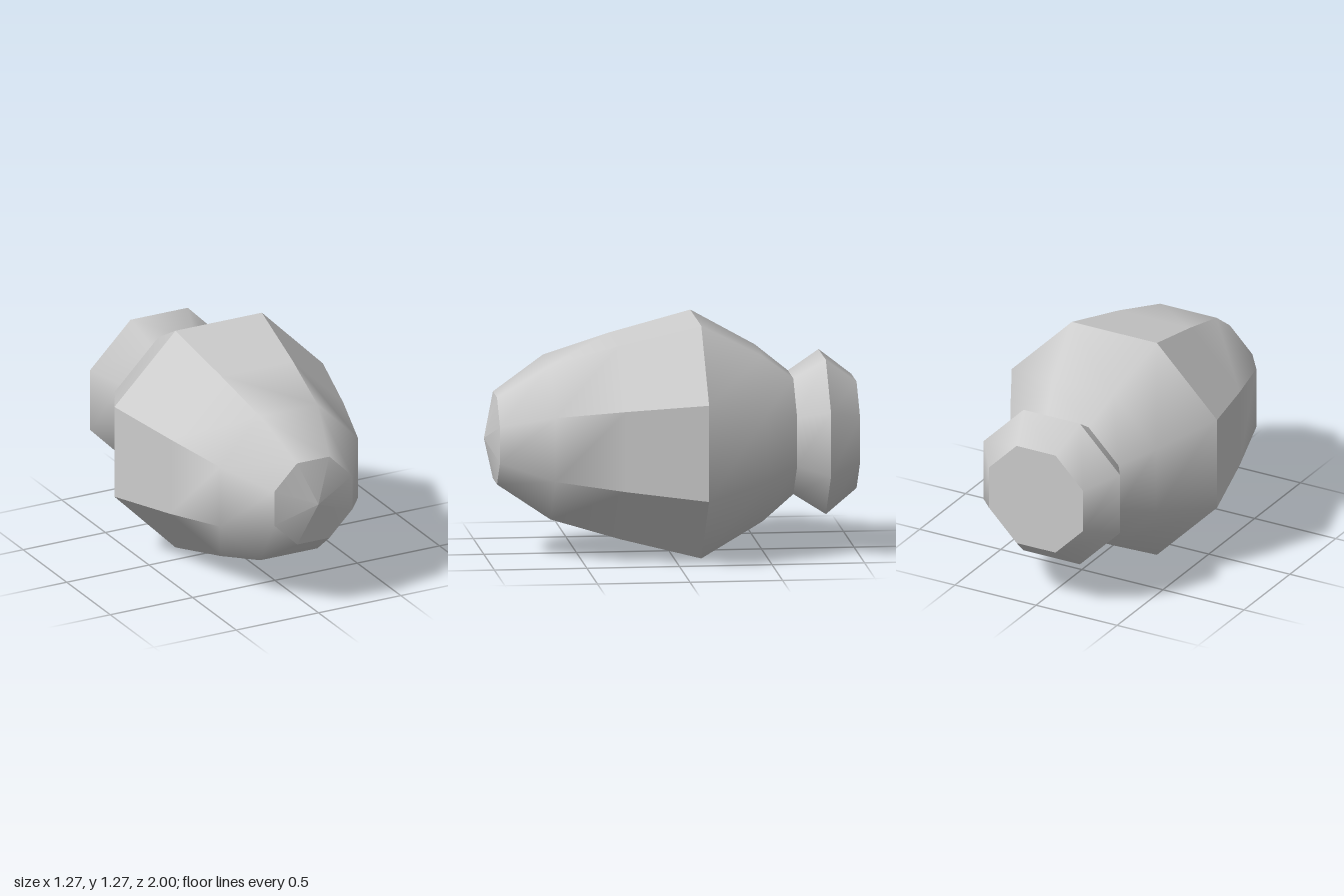
import * as THREE from 'three';

const SIDES = 8;
const STEP = (Math.PI * 2) / SIDES;
const CENTER_Y = 0.633;

// Eight-sided shell along z from [half width across flats, z] points, back to front
function shell(profile) {
  const points = profile.map(([r, z]) => new THREE.Vector2(r / Math.cos(STEP / 2), z));
  return new THREE.LatheGeometry(points, SIDES, STEP / 2).rotateX(Math.PI / 2);
}

// Gives flat panel normals to vertices behind zLimit, leaving the rest smooth
function flattenPanels(geometry, zLimit, slope) {
  const g = geometry.toNonIndexed();
  const p = g.attributes.position;
  const n = new THREE.Vector3();
  for (let i = 0; i < p.count; i += 3) {
    const cx = p.getX(i) + p.getX(i + 1) + p.getX(i + 2);
    const cy = p.getY(i) + p.getY(i + 1) + p.getY(i + 2);
    const a = Math.round(Math.atan2(cy, cx) / STEP) * STEP;
    n.set(Math.cos(a), Math.sin(a), slope).normalize();
    for (let k = i; k < i + 3; k++) {
      if (p.getZ(k) < zLimit) g.attributes.normal.setXYZ(k, n.x, n.y, n.z);
    }
  }
  return g;
}

export function createModel() {
  const grey = new THREE.MeshStandardMaterial({ color: 0xcccccc });
  grey.name = 'light grey';
  const model = new THREE.Group();
  model.name = 'octagonalPod';

  const add = (name, geometry) => {
    const mesh = new THREE.Mesh(geometry, grey);
    mesh.name = name;
    mesh.position.y = CENTER_Y;
    model.add(mesh);
  };

  // Shallow pointed nose
  add('noseCap', shell([[0.237, 0.94], [0, 1]]));

  // Front body: flat panels at the widest part blending into a rounded nose
  const front = shell([[0.633, -0.145], [0.527, 0.29], [0.42, 0.66], [0.237, 0.94]]);
  add('frontBody', flattenPanels(front, 0.4, 0.25));

  // Rear body tapering to the neck
  add('rearBody', shell([[0.315, -0.657], [0.45, -0.485], [0.633, -0.145]]));

  // Flared collar, its rear bevel and the closing plate
  add('collar', shell([[0.42, -0.828], [0.315, -0.657]]));
  add('rearBevel', shell([[0.29, -1], [0.42, -0.828]]));
  add('rearPlate', shell([[0, -1], [0.29, -1]]));

  return model;
}
